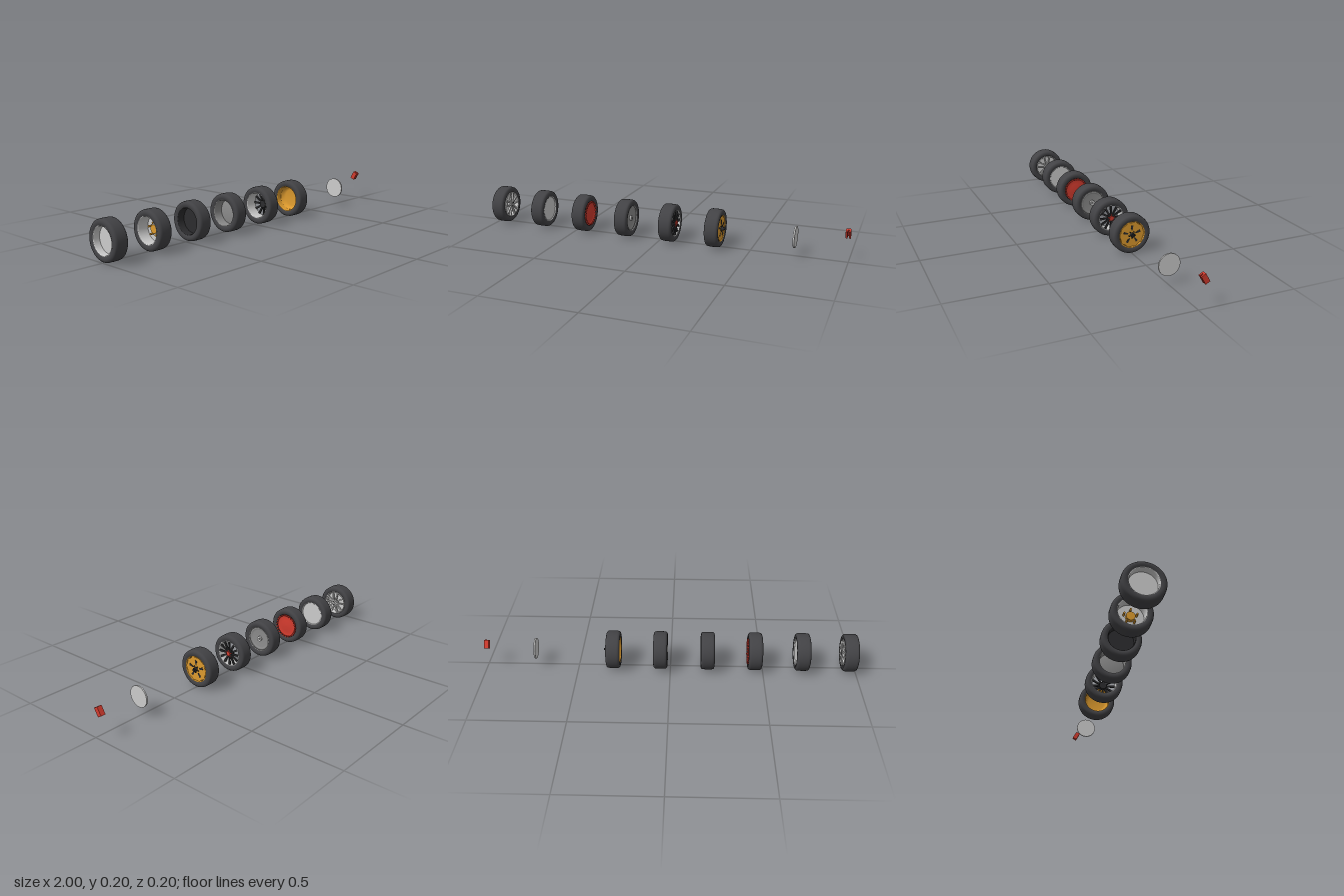
import * as THREE from 'three';

const mat = (color) => new THREE.MeshStandardMaterial({ color, side: THREE.DoubleSide });
const GREY = mat(0xcccccc), RUBBER = mat(0x424245), BLACK = mat(0x2c2c2e);
const RED = mat(0xd23b2e), GOLD = mat(0xdc9a2e), DARKGREY = mat(0x8c8c8c);
const AXLE_Y = 0.102;

function add(parent, name, geometry, material) {
  const mesh = new THREE.Mesh(geometry, material);
  mesh.name = name;
  parent.add(mesh);
  return mesh;
}

// Turned part about the x axle; points are [radius, position along x]
function turned(points, segments = 64) {
  const g = new THREE.LatheGeometry(points.map((p) => new THREE.Vector2(p[0], p[1])), segments);
  return g.rotateZ(-Math.PI / 2);
}

// Solid disc across the axle, from x0 to x1
const disc = (r, x0, x1, n = 48) =>
  new THREE.CylinderGeometry(r, r, x1 - x0, n).rotateZ(-Math.PI / 2).translate((x0 + x1) / 2, 0, 0);

// Flat outline extruded from x0 to x1
const plate = (shape, x0, x1) =>
  new THREE.ExtrudeGeometry(shape, { depth: x1 - x0, bevelEnabled: false, curveSegments: 24 })
    .rotateY(Math.PI / 2).translate(x0, 0, 0);

const polygon = (pts) => new THREE.Shape(pts.map((p) => new THREE.Vector2(p[0], p[1])));

function around(n, fn, offset = 0) {
  for (let i = 0; i < n; i++) fn(offset + (i * 2 * Math.PI) / n, i);
}

// Tyre and barrel shared by all wheels
function baseWheel(name, x, barrelMaterial) {
  const wheel = new THREE.Group();
  wheel.name = name;
  wheel.position.set(x, AXLE_Y, 0);
  add(wheel, 'tyre', turned([
    [0.07, -0.033], [0.078, -0.037], [0.087, -0.0375], [0.095, -0.035], [0.0995, -0.03], [0.101, -0.022],
    [0.1015, 0], [0.101, 0.022], [0.0995, 0.03], [0.095, 0.035], [0.087, 0.0375], [0.078, 0.037], [0.07, 0.033],
  ]), RUBBER);
  add(wheel, 'barrel', turned([
    [0.071, 0.034], [0.068, 0.034], [0.066, 0.028], [0.066, -0.028], [0.068, -0.034], [0.071, -0.034],
  ]), barrelMaterial);
  return wheel;
}

// Five pairs of tapering spokes
function twinSpokeWheel(x) {
  const w = baseWheel('twinSpokeWheel', x, GREY);
  add(w, 'backing', disc(0.066, 0, 0.004), GREY);
  around(5, (a) => {
    for (const s of [-1, 1]) {
      const spoke = polygon([[s * 0.002, 0.008], [s * 0.009, 0.008], [s * 0.021, 0.064], [s * 0.013, 0.067]]);
      add(w, 'spoke', plate(spoke, 0.031, 0.041), GREY).rotation.x = a;
    }
    add(w, 'wheelBolt', disc(0.003, 0.036, 0.044, 8).translate(0, 0.011, 0), BLACK).rotation.x = a + 0.63;
  });
  add(w, 'hub', disc(0.016, 0.015, 0.042), GREY);
  add(w, 'centreCap', disc(0.007, 0.042, 0.045), DARKGREY);
  add(w, 'rimLip', turned([[0.071, 0.034], [0.07, 0.038], [0.067, 0.038], [0.065, 0.03]]), GREY);
  return w;
}

// Flat cover with a gold hub behind
function coverWheel(x) {
  const w = baseWheel('coverWheel', x, GREY);
  add(w, 'cover', disc(0.067, 0.026, 0.03), GREY);
  add(w, 'innerHub', disc(0.022, 0.006, 0.026), GOLD);
  around(5, (a) => add(w, 'innerBolt', disc(0.005, 0, 0.026, 8).translate(0, 0.032, 0), GOLD).rotation.x = a);
  return w;
}

// Red dish ringed with teeth
function toothedWheel(x) {
  const w = baseWheel('toothedWheel', x, BLACK);
  add(w, 'backing', disc(0.066, 0.005, 0.009), BLACK);
  add(w, 'dish', turned([[0, 0.033], [0.035, 0.032], [0.056, 0.028], [0.06, 0.034], [0.062, 0.034], [0.062, 0.022], [0, 0.022]]), RED);
  around(24, (a) => add(w, 'tooth',
    new THREE.BoxGeometry(0.018, 0.008, 0.008).translate(0.031, 0.064, 0), RED).rotation.x = a);
  return w;
}

// Plain dish with a small cap
function dishWheel(x) {
  const w = baseWheel('dishWheel', x, DARKGREY);
  add(w, 'dish', turned([[0, 0.023], [0.05, 0.023], [0.057, 0.027], [0.066, 0.03], [0.066, 0.018], [0, 0.018]]), DARKGREY);
  add(w, 'centreCap', disc(0.014, 0.022, 0.032), GREY);
  add(w, 'capCentre', disc(0.006, 0.032, 0.034, 24), DARKGREY);
  return w;
}

// Thin dark spokes around a red hub
function multiSpokeWheel(x) {
  const w = baseWheel('multiSpokeWheel', x, GREY);
  around(12, (a) => {
    const spoke = polygon([[-0.004, 0.01], [0.004, 0.01], [0.0055, 0.067], [-0.0055, 0.067]]);
    add(w, 'spoke', plate(spoke, 0.024, 0.032), BLACK).rotation.x = a;
  });
  add(w, 'hub', disc(0.02, 0.016, 0.034), BLACK);
  add(w, 'redCap', disc(0.013, 0.034, 0.04, 6), RED);
  around(5, (a) => add(w, 'wheelBolt',
    disc(0.003, 0.034, 0.038, 8).translate(0, 0.0165, 0), RED).rotation.x = a);
  return w;
}

// Gold bowl with a scalloped rim, dark slots and a projecting dark hub
function slottedWheel(x) {
  const w = baseWheel('slottedWheel', x, GOLD);
  add(w, 'bowl', turned([[0, 0.014], [0.045, 0.014], [0.058, 0.006], [0.066, -0.006]]), GOLD);
  const face = new THREE.Shape();
  around(10, (a, i) => {
    const next = a + Math.PI / 5, mid = a + Math.PI / 10;
    if (i === 0) face.moveTo(0.069 * Math.cos(a), 0.069 * Math.sin(a));
    face.quadraticCurveTo(0.061 * Math.cos(mid), 0.061 * Math.sin(mid),
      0.069 * Math.cos(next), 0.069 * Math.sin(next));
  });
  add(w, 'face', plate(face, 0.022, 0.032), GOLD);
  around(5, (a) => {
    const slot = polygon([[-0.003, 0.022], [0.003, 0.022], [0.007, 0.048], [-0.007, 0.048]]);
    add(w, 'slot', plate(slot, 0.031, 0.033), BLACK).rotation.x = a;
    add(w, 'wheelBolt', disc(0.003, 0.032, 0.038, 8).translate(0, 0.017, 0), BLACK).rotation.x = a + 0.63;
  });
  add(w, 'hub', disc(0.011, 0.032, 0.046, 24), BLACK);
  add(w, 'hubTip', disc(0.006, 0.046, 0.053, 6), BLACK);
  return w;
}

export function createModel() {
  const model = new THREE.Group();
  model.name = 'wheelSet';

  // Six wheels in a row
  const makers = [twinSpokeWheel, coverWheel, toothedWheel, dishWheel, multiSpokeWheel, slottedWheel];
  makers.forEach((make, i) => model.add(make(-0.9625 + i * 0.254)));

  // Brake disc
  add(model, 'brakeDisc', disc(0.056, -0.004, 0.004, 64), GREY).position.set(0.73, AXLE_Y, 0);

  // Brake caliper, tilted to follow the disc edge
  const caliper = new THREE.Group();
  caliper.name = 'brakeCaliper';
  caliper.position.set(0.9875, 0.142, -0.029);
  caliper.rotation.x = Math.PI / 6;
  for (const s of [-1, 1]) {
    add(caliper, 'caliperHalf', new THREE.BoxGeometry(0.009, 0.046, 0.0256).translate(s * 0.008, 0, 0), RED);
  }
  add(caliper, 'caliperBridge', new THREE.BoxGeometry(0.01, 0.046, 0.01).translate(0, 0, -0.0078), RED);
  model.add(caliper);
  return model;
}
